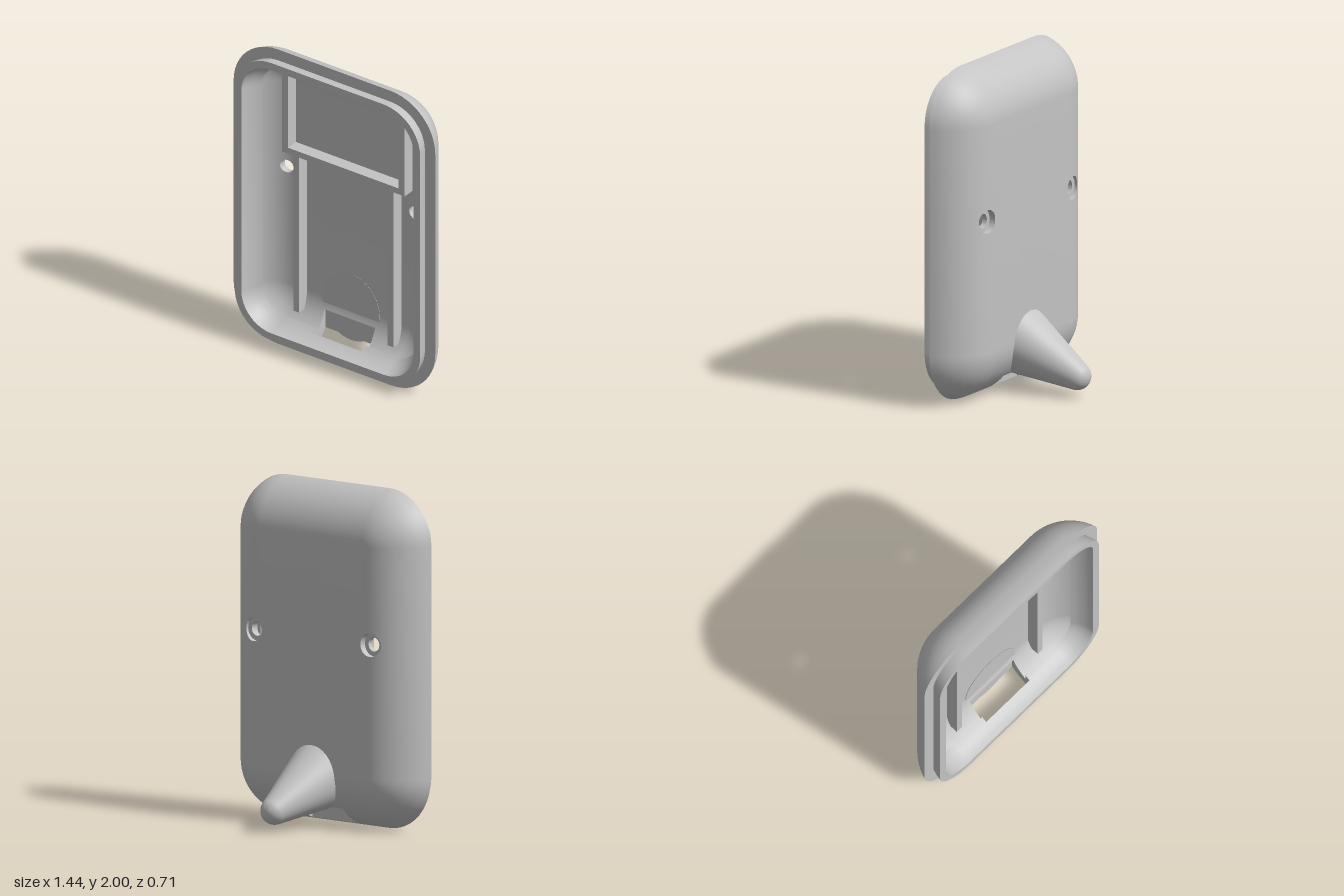
import * as THREE from 'three';
import { mergeGeometries, toCreasedNormals } from 'three/addons/utils/BufferGeometryUtils.js';

const HX = 0.4, Y0 = 0.32, Y1 = 1.68;   // spine rectangle the wall profile is swept around
const ZC = 0.378, RO = 0.333, RI = 0.263, RL = 0.216; // centre depth; outer, inner and lip radii
const zAt = (R, r) => ZC - Math.sqrt(R * R - r * r);
const rAt = (R, z) => Math.sqrt(R * R - (ZC - z) ** 2);
const zOut = r => zAt(RO, r), zIn = r => zAt(RI, r);
const STEP = 0.11 / 6;                  // grid shared by the wall and the hole patches
const HOLE = { x: 0.455, y: 1.108, half: 4 * STEP };
const SLOT = { half: 0.18, r: 0.085, back: 0.12, front: 0.26 };

// Skins closed rings of points; skip(i, j) leaves a quad open
function loft(rings, skip = () => false) {
  const pos = [];
  for (let i = 0; i < rings.length - 1; i++) {
    const n = rings[i].length;
    for (let j = 0; j < n; j++) {
      if (skip(i, j)) continue;
      const k = (j + 1) % n;
      const [a, b, c, d] = [rings[i][j], rings[i][k], rings[i + 1][k], rings[i + 1][j]];
      pos.push(...a, ...b, ...c, ...a, ...c, ...d);
    }
  }
  const g = new THREE.BufferGeometry();
  g.setAttribute('position', new THREE.Float32BufferAttribute(pos, 3));
  return g;
}

// Merges parts and smooths all but the sharp edges
function smooth(parts) {
  const plain = parts.map(p => {
    const g = p.index ? p.toNonIndexed() : p;
    for (const name of ['normal', 'uv']) g.deleteAttribute(name);
    return g;
  });
  return toCreasedNormals(mergeGeometries(plain), 0.4);
}

// Wall cross-section as [r, z]: inside curve, undercut lip, flange, outside curve
const grid = Array.from({ length: 8 }, (_, k) => k * STEP);
const innerArc = [...grid, 0.155, 0.18, 0.2, rAt(RI, 0.228)].map(r => [r, zIn(r)]);
const lipArc = [0.228, 0.245, 0.265, 0.295, 0.325, 0.355].map(z => [rAt(RL, z), z]);
const rim = [0.355, 0.32, 0.285].map(z => [rAt(RI, z), z]);
const outerArc = [rAt(RO, 0.285), 0.31, 0.297, 0.28, 0.258, 0.232, 0.204, 0.178, 0.153, ...[...grid].reverse()]
  .map(r => [r, zOut(r)]);
const profile = [...innerArc, ...lipArc, ...rim, ...outerArc];

// Sweep around everything but the straight bottom edge
function sweptWall() {
  const stations = [];
  const corner = (x, y, start) => {
    for (let k = 0; k <= 12; k++) stations.push([x, y, start + (k / 12) * Math.PI / 2]);
  };
  const lo = HOLE.y - HOLE.half, hi = HOLE.y + HOLE.half, limit = 7.01 * STEP;
  corner(HX, Y0, -Math.PI / 2);
  stations.push([HX, lo, 0], [HX, hi, 0]);
  corner(HX, Y1, 0);
  corner(-HX, Y1, Math.PI / 2);
  stations.push([-HX, hi, Math.PI], [-HX, lo, Math.PI]);
  corner(-HX, Y0, Math.PI);
  const rings = stations.map(([x, y, t]) =>
    profile.map(([r, z]) => [x + r * Math.cos(t), y + r * Math.sin(t), z]));
  return loft(rings, (i, j) => {
    if (j === profile.length - 1) return true;
    const mid = (stations[i][1] + stations[i + 1][1]) / 2;
    const nearHole = Math.abs(mid - HOLE.y) < 0.01 && stations[i][0] === stations[i + 1][0];
    return nearHole && profile[j][0] <= limit && profile[j + 1][0] <= limit;
  });
}

// Straight bottom piece with the given section, from x0 to x1
function bottomPiece(section, x0, x1) {
  const shape = new THREE.Shape(section.map(p => new THREE.Vector2(...p)));
  const g = new THREE.ExtrudeGeometry(shape, { depth: x1 - x0, bevelEnabled: false });
  const m = new THREE.Matrix4().makeBasis(
    new THREE.Vector3(0, -1, 0), new THREE.Vector3(0, 0, 1), new THREE.Vector3(-1, 0, 0));
  return g.applyMatrix4(m.setPosition(x1, Y0, 0));
}

// Flat middle plate, notched beside the screw holes
function plate(z, back) {
  const lo = HOLE.y - HOLE.half, hi = HOLE.y + HOLE.half, n = HOLE.x - HOLE.half;
  const right = [[HX, Y0], [HX, lo], [n, lo], [n, hi], [HX, hi], [HX, Y1]];
  const left = right.map(([x, y]) => [-x, y]).reverse();
  const g = new THREE.ShapeGeometry(new THREE.Shape([...right, ...left].map(p => new THREE.Vector2(...p))));
  if (back) g.rotateY(Math.PI);
  return g.translate(0, 0, z);
}

// Counterbored screw hole with its patch of wall, blending square to circle
function screwHole(side) {
  const cx = side * HOLE.x, N = 32;
  const wave = j => THREE.MathUtils.clamp(2 - Math.abs(j) / 4, -1, 1) * HOLE.half;
  const ring = (radius, square, zOf) => Array.from({ length: N }, (_, i) => {
    const j = i - 16, t = j / N * Math.PI * 2;
    const px = THREE.MathUtils.lerp(radius * Math.cos(t), wave(j), square);
    const py = THREE.MathUtils.lerp(radius * Math.sin(t), wave(j < -8 ? j + 24 : j - 8), square);
    const x = cx + px;
    return [x, HOLE.y + py, zOf(Math.max(0, Math.abs(x) - HX))];
  });
  const steps = [1, 0.66, 0.33, 0];
  const ledge = () => 0.085;
  return loft([
    ...steps.map(k => ring(0.042, k, zIn)),
    ring(0.042, 0, ledge), ring(0.07, 0, ledge),
    ring(0.07, 0, zOut), ring(0.07, 1, zOut),
  ]);
}

// Round-tipped cone, its base trimmed flat at the slot's back wall
function peg() {
  const tilt = 0.384, beta = 0.272, R = 0.083, N = 40;
  const C = [0, 0.125, -0.273], dy = -Math.sin(tilt), dz = -Math.cos(tilt);
  const at = (along, r, t) => [r * Math.cos(t),
    C[1] + dy * along + dz * r * Math.sin(t), C[2] + dz * along - dy * r * Math.sin(t)];
  const angles = Array.from({ length: N }, (_, j) => j / N * Math.PI * 2);
  const r0 = R / Math.cos(beta), slope = Math.tan(beta), zBase = 0.119;
  const base = angles.map(t => {
    const s = -dy * Math.sin(t);
    const d = (zBase - C[2] - r0 * s) / (-dz + slope * s);
    return at(-d, r0 + slope * d, t);
  });
  const rings = [angles.map(() => [0, 0.3, zBase]), base];
  for (let k = 0; k <= 10; k++) {
    const a = beta + (Math.PI / 2 - beta) * k / 10;
    rings.push(angles.map(t => at(R * Math.sin(a), R * Math.cos(a), t)));
  }
  return loft(rings);
}

export function createModel() {
  const group = new THREE.Group();
  const grey = new THREE.MeshStandardMaterial({ color: 0xc4c4c4 });
  grey.name = 'grey';
  const add = (name, geometry) => {
    const mesh = new THREE.Mesh(geometry, grey);
    mesh.name = name;
    group.add(mesh);
    return mesh;
  };

  // Sections above and below the slot in the bottom edge
  const s = SLOT, rBack = rAt(RO, s.back);
  const above = [...innerArc.filter(p => p[0] < s.r), [s.r, zIn(s.r)], [s.r, s.back],
    [rBack, s.back], ...outerArc.filter(p => p[0] < rBack)];
  const below = [[rAt(RL, s.front), s.front], ...lipArc.filter(p => p[1] > s.front), ...rim,
    outerArc[0], [rAt(RO, s.front), s.front]];

  add('shell', smooth([
    sweptWall(), plate(zIn(0), false), plate(zOut(0), true), screwHole(1), screwHole(-1),
    bottomPiece(profile, -HX, -s.half), bottomPiece(profile, s.half, HX),
    bottomPiece(above, -s.half, s.half), bottomPiece(below, -s.half, s.half),
  ]));
  add('peg', smooth([peg()]));

  // Inside ribs: an upper frame and two lower rails
  const rib = (name, x0, x1, y0, y1) => {
    const z0 = 0.11, z1 = 0.195;
    add(name, new THREE.BoxGeometry(x1 - x0, y1 - y0, z1 - z0))
      .position.set((x0 + x1) / 2, (y0 + y1) / 2, (z0 + z1) / 2);
  };
  rib('frameCrossRib', -0.437, 0.437, 1.25, 1.29);
  for (const [side, c] of [['Left', 1], ['Right', -1]]) {
    rib('frameRib' + side, c * 0.416 - 0.021, c * 0.416 + 0.021, 1.29, 1.868);
    rib('lowerRib' + side, c * 0.337 - 0.021, c * 0.337 + 0.021, 0.197, 1.25);
  }
  return group;
}
